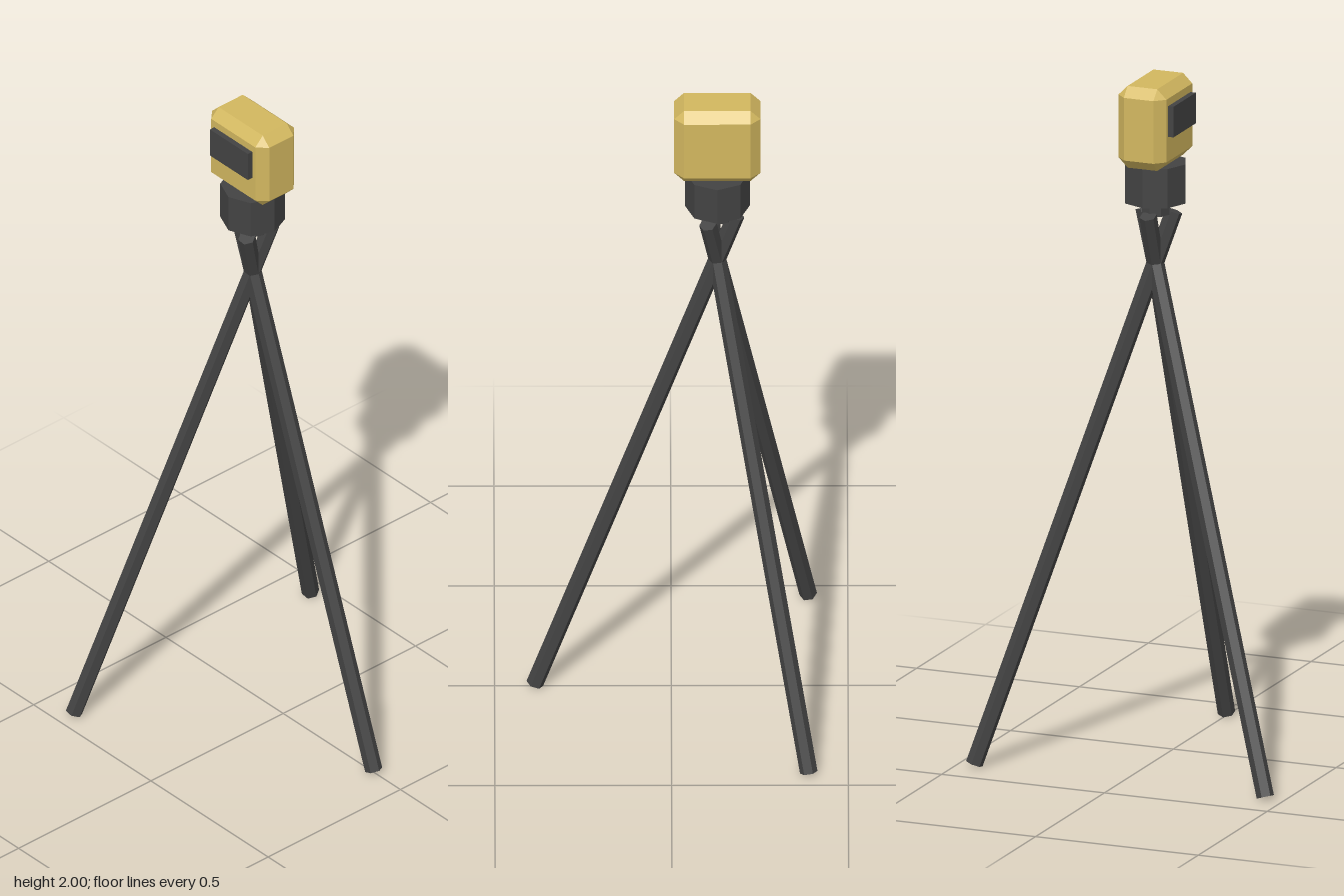
import * as THREE from 'three';
import { ConvexGeometry } from 'three/addons/geometries/ConvexGeometry.js';

const AXIS_X = -0.13; // vertical axis shared by head, hub and legs

// Box with flat chamfers on all edges and triangular corners
function chamferedBox(w, h, d, c) {
  const a = w / 2, b = h / 2, e = d / 2, pts = [];
  for (const x of [-1, 1]) for (const y of [-1, 1]) for (const z of [-1, 1]) {
    pts.push(
      new THREE.Vector3(x * a, y * (b - c), z * (e - c)),
      new THREE.Vector3(x * (a - c), y * b, z * (e - c)),
      new THREE.Vector3(x * (a - c), y * (b - c), z * e));
  }
  return new ConvexGeometry(pts);
}

export function createModel() {
  const yellow = new THREE.MeshStandardMaterial({ color: 0xd2b75f, flatShading: true });
  yellow.name = 'yellow casing';
  const dark = new THREE.MeshStandardMaterial({ color: 0x434343, flatShading: true });
  dark.name = 'dark grey';

  const model = new THREE.Group();
  model.name = 'tripodInstrument';

  const add = (parent, name, geometry, material, x, y, z) => {
    const mesh = new THREE.Mesh(geometry, material);
    mesh.name = name;
    mesh.position.set(x, y, z);
    parent.add(mesh);
    return mesh;
  };

  // Instrument head with raised display on the front
  add(model, 'head', chamferedBox(0.244, 0.24, 0.147, 0.028), yellow, AXIS_X, 1.88, 0);
  add(model, 'display', new THREE.BoxGeometry(0.162, 0.09, 0.03), dark, AXIS_X, 1.905, 0.075);

  // Octagonal hub and short neck
  add(model, 'hub', new THREE.CylinderGeometry(0.092, 0.092, 0.115, 8), dark, AXIS_X, 1.7025, 0);
  add(model, 'neck', new THREE.CylinderGeometry(0.043, 0.043, 0.04, 8), dark, AXIS_X, 1.627, 0);

  // Three hexagonal legs crossing below the hub
  const foot = new THREE.Vector3(0, 0.008, 0.516);
  const top = new THREE.Vector3(0, 1.612, -0.053);
  const along = top.clone().sub(foot);
  const mid = top.clone().add(foot).multiplyScalar(0.5);
  const legGeometry = new THREE.CylinderGeometry(0.025, 0.025, along.length(), 6);
  for (let i = 0; i < 3; i++) {
    const pivot = new THREE.Group();
    pivot.name = 'legPivot' + (i + 1);
    pivot.position.x = AXIS_X;
    pivot.rotation.y = Math.PI / 2 + i * Math.PI * 2 / 3;
    const leg = add(pivot, 'leg' + (i + 1), legGeometry, dark, 0, mid.y, mid.z);
    leg.rotation.x = Math.atan2(along.z, along.y);
    model.add(pivot);
  }
  return model;
}
